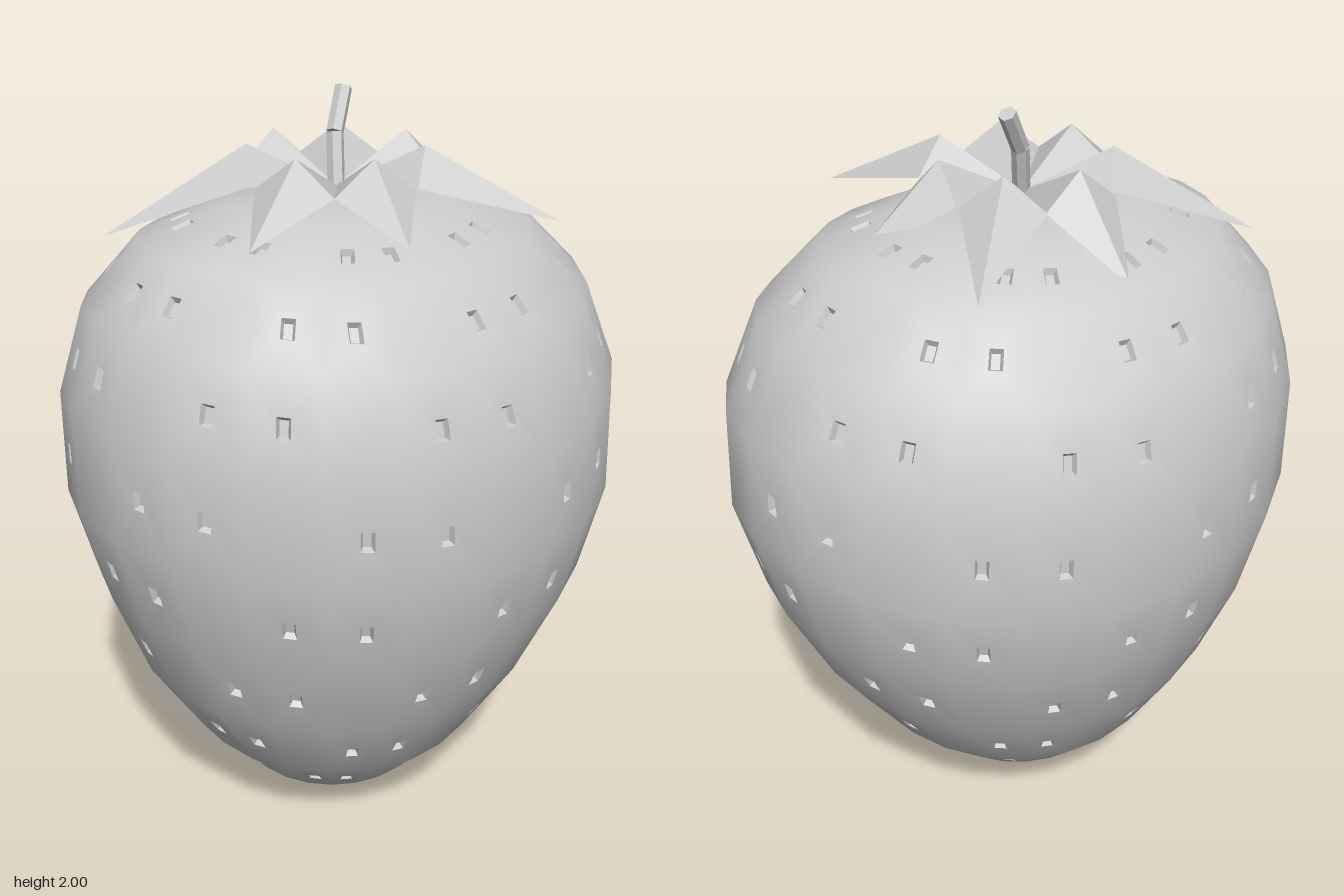
import * as THREE from 'three';

const V = (x, y, z) => new THREE.Vector3(x, y, z);
const SEGMENTS = 24;

// Fruit cross-sections: height, saddle, x radius, z radius, x offset
const RINGS = [
  [0.04, 0.01, 0.14, 0.12, -0.04],
  [0.135, 0.005, 0.275, 0.25, -0.035],
  [0.3, 0.02, 0.445, 0.39, -0.025],
  [0.525, 0.025, 0.595, 0.52, -0.015],
  [0.77, 0.03, 0.70, 0.62, 0],
  [1.02, 0.04, 0.765, 0.675, 0],
  [1.29, 0.04, 0.755, 0.67, -0.005],
  [1.51, 0.03, 0.67, 0.60, -0.02],
  [1.67, 0.02, 0.52, 0.45, -0.03],
  [1.745, 0.01, 0.30, 0.27, -0.03],
  [1.76, 0.005, 0.14, 0.13, -0.03],
];

function ringPoint([y, saddle, rx, rz, cx], j) {
  const a = (j / SEGMENTS) * Math.PI * 2;
  return V(cx + rx * Math.sin(a), y - saddle * Math.cos(2 * a), rz * Math.cos(a));
}

// Flat-faced geometry from a list of corner points, three per triangle
function facets(points) {
  const g = new THREE.BufferGeometry().setFromPoints(points);
  g.computeVertexNormals();
  return g;
}

// Four quads joining an outer loop of corners to an inner one
function frame(outer, inner, quad) {
  for (let k = 0; k < 4; k++) {
    const n = (k + 1) % 4;
    quad(outer[k], outer[n], inner[n], inner[k]);
  }
}

// Smooth fruit skin with small rectangular openings, and the pits that fill them
function fruitGeometries() {
  const points = [];
  const index = [];
  const pits = [];
  const add = (p) => points.push(p) - 1;
  const quad = (a, b, c, d) => index.push(a, b, c, a, c, d);
  const pitQuad = (a, b, c, d) => pits.push(a, b, c, a, c, d);

  for (const ring of RINGS) for (let j = 0; j < SEGMENTS; j++) add(ringPoint(ring, j));
  const id = (i, j) => i * SEGMENTS + (j % SEGMENTS);

  for (let i = 0; i < RINGS.length - 1; i++) {
    for (let j = 0; j < SEGMENTS; j++) {
      const outer = [id(i, j), id(i, j + 1), id(i + 1, j + 1), id(i + 1, j)];
      // Seeds fill two of every three cells, stepping round by one per row
      if (i < 1 || i > 8 || j % 3 === i % 3) {
        quad(...outer);
        continue;
      }
      const [a, b, c, d] = outer.map((k) => points[k]);
      const centre = V(0, 0, 0).add(a).add(b).add(c).add(d).multiplyScalar(0.25);
      const across = b.clone().sub(a).add(c).sub(d).normalize();
      const up = d.clone().sub(a).add(c).sub(b).normalize();
      const inward = up.clone().cross(across).normalize();
      const corners = (w, h, depth) => [[-1, -1], [1, -1], [1, 1], [-1, 1]].map(([s, t]) =>
        centre.clone().addScaledVector(across, s * w).addScaledVector(up, t * h).addScaledVector(inward, depth));
      const rim = corners(0.016, 0.025, 0);
      const floor = corners(0.010, 0.018, 0.015);
      frame(outer, rim.map((p) => add(p.clone())), quad);
      frame(rim, floor, pitQuad);
      pitQuad(...floor);
    }
  }

  // Close the bottom and the top
  const bottom = add(V(-0.045, 0, 0));
  const top = add(V(-0.03, 1.755, 0));
  const last = RINGS.length - 1;
  for (let j = 0; j < SEGMENTS; j++) {
    index.push(bottom, id(0, j + 1), id(0, j));
    index.push(top, id(last, j), id(last, j + 1));
  }

  const skin = new THREE.BufferGeometry().setFromPoints(points);
  skin.setIndex(index);
  skin.computeVertexNormals();
  return { skin, pits: facets(pits) };
}

// Folded leaf: raised ridge in the middle, drooping sides and tip
function leafGeometry(tx, ty, tz) {
  const base = V(-0.03, 1.77, 0);
  const angle = Math.atan2(tx - base.x, tz);
  const at = (r, da, y) => V(base.x + r * Math.sin(angle + da), y, r * Math.cos(angle + da));
  const peak = at(0.22, 0, 1.88);
  const left = at(0.25, -0.43, 1.8);
  const right = at(0.25, 0.43, 1.8);
  const tip = V(tx, ty, tz);
  return facets([base, peak, left, base, right, peak, left, peak, tip, peak, right, tip]);
}

export function createModel() {
  const model = new THREE.Group();
  const grey = new THREE.MeshStandardMaterial({ color: 0xcccccc, side: THREE.DoubleSide });
  grey.name = 'light grey';
  const part = (name, geometry, parent = model) => {
    const mesh = new THREE.Mesh(geometry, grey);
    mesh.name = name;
    parent.add(mesh);
    return mesh;
  };

  const { skin, pits } = fruitGeometries();
  part('fruit', skin);
  part('seeds', pits);

  // Crown of seven leaves, given by their tips
  const leaves = new THREE.Group();
  leaves.name = 'leaves';
  model.add(leaves);
  const tips = [
    [-0.5, 1.67, -0.33], [-0.04, 1.66, -0.41], [0.33, 1.68, -0.34], [0.43, 1.66, 0.06],
    [0.24, 1.72, 0.48], [-0.18, 1.72, 0.38], [-0.45, 1.72, 0.15],
  ];
  for (const tip of tips) part('leaf', leafGeometry(...tip), leaves);

  // Bent six-sided stem
  const stem = new THREE.Group();
  stem.name = 'stem';
  model.add(stem);
  const path = [V(-0.03, 1.74, 0), V(0.0, 1.89, -0.035), V(0.057, 1.987, -0.062)];
  for (let k = 0; k < 2; k++) {
    const dir = path[k + 1].clone().sub(path[k]);
    const geometry = new THREE.CylinderGeometry(0.022, 0.022, dir.length(), 6).toNonIndexed();
    geometry.computeVertexNormals();
    const piece = part('stemPiece', geometry, stem);
    piece.position.copy(path[k]).addScaledVector(dir, 0.5);
    piece.quaternion.setFromUnitVectors(V(0, 1, 0), dir.normalize());
  }
  return model;
}
